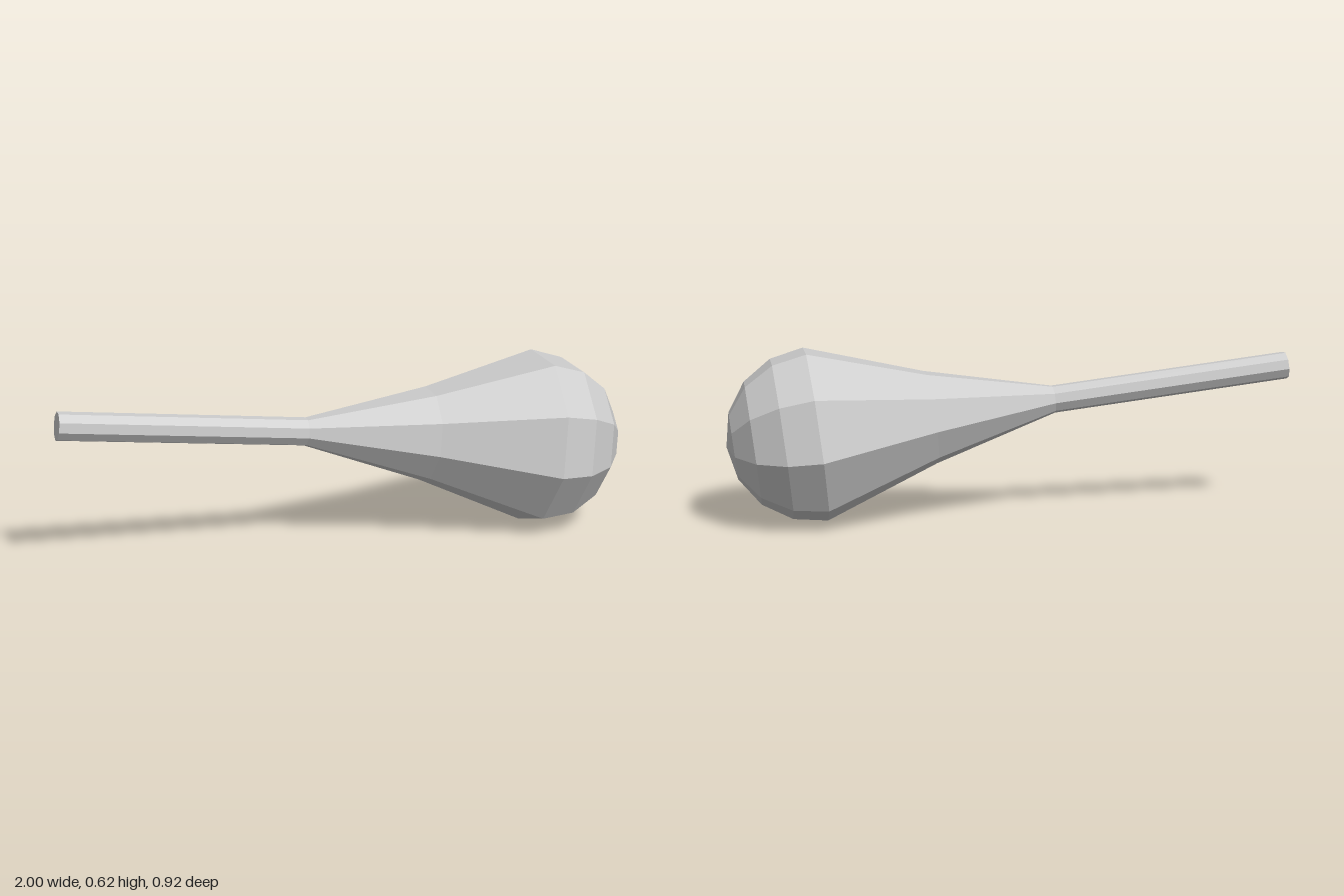
import * as THREE from 'three';

const SIDES = 9;
const DOME_RADIUS = 0.322;
const DOME_START = 1.76; // distance along the axis where the rounded end begins

export function createModel() {
  const group = new THREE.Group();
  group.name = 'club';
  const material = new THREE.MeshStandardMaterial({ color: 0xcccccc, flatShading: true, side: THREE.DoubleSide });

  // Tilted axis from the handle end to the tip of the head
  const start = new THREE.Vector3(-0.983, 0.527, 0.414);
  const axis = new THREE.Vector3(0.942, -0.116, -0.3155).normalize();
  const across = new THREE.Vector3(-axis.z, 0, axis.x).normalize();
  const up = new THREE.Vector3().crossVectors(across, axis);
  const placement = new THREE.Matrix4().makeBasis(across, axis, up).setPosition(start);

  // Faceted part turned around the axis from [radius, distance] points
  const turned = (name, points) => {
    const profile = points.map(([r, s]) => new THREE.Vector2(r, s));
    const geometry = new THREE.LatheGeometry(profile, SIDES, THREE.MathUtils.degToRad(22));
    geometry.applyMatrix4(placement);
    const mesh = new THREE.Mesh(geometry, material);
    mesh.name = name;
    group.add(mesh);
  };

  // Slim handle with a flat end
  turned('handle', [[0, 0], [0.051, 0], [0.051, 0.885]]);

  // Flared head closed by a hemisphere
  const head = [[0.051, 0.885], [0.173, 1.34]];
  for (let i = 0; i <= 4; i++) {
    const a = (i / 4) * Math.PI / 2;
    head.push([i === 4 ? 0 : DOME_RADIUS * Math.cos(a), DOME_START + DOME_RADIUS * Math.sin(a)]);
  }
  turned('head', head);

  return group;
}
